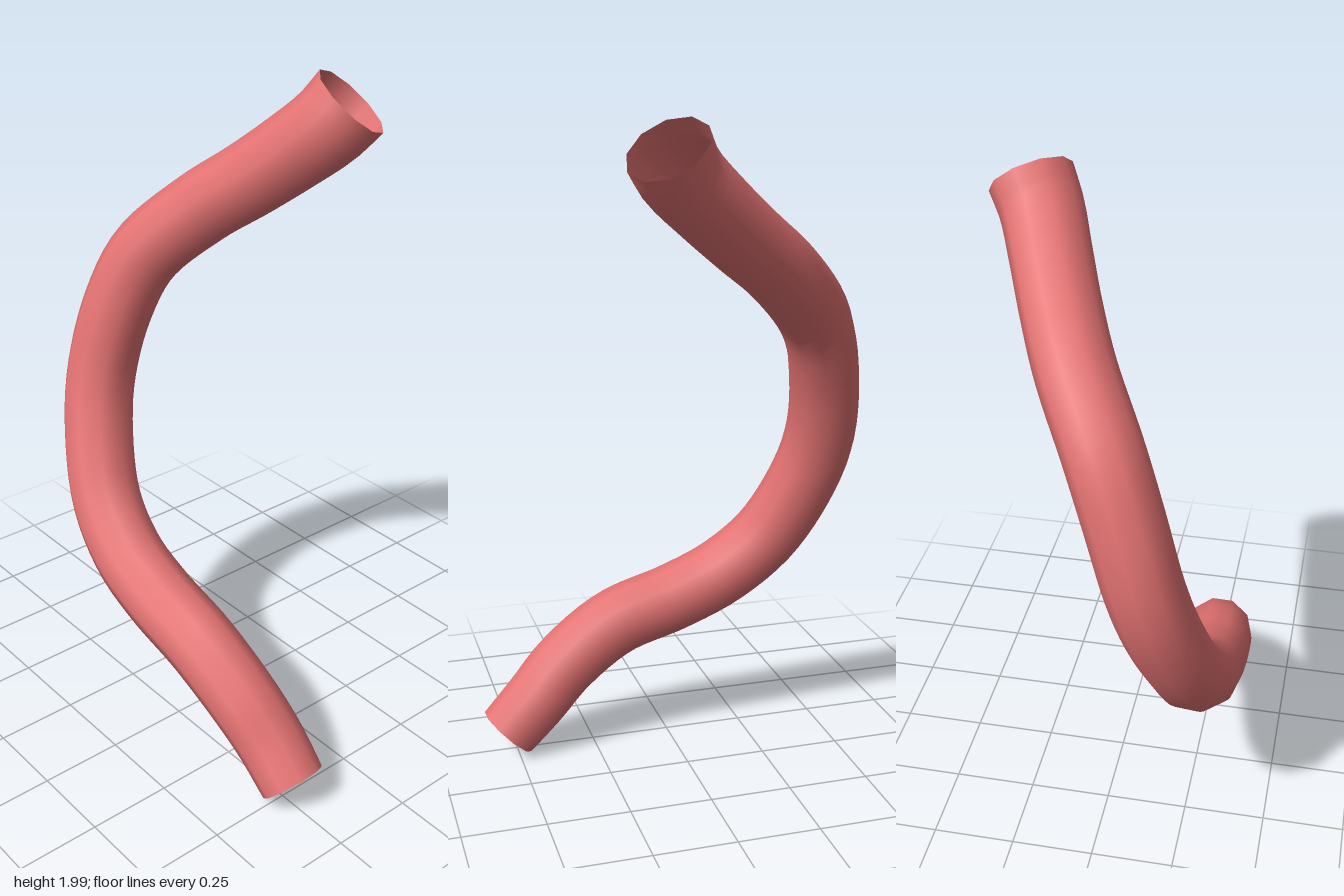
import * as THREE from 'three';

// Centre line of the hose, from the lower front end to the upper end
const PATH = [
  [-0.238, 0.07, 0.53], [-0.244, 0.17, 0.433], [-0.264, 0.27, 0.335],
  [-0.285, 0.385, 0.165], [-0.289, 0.452, -0.04], [-0.284, 0.525, -0.2],
  [-0.258, 0.65, -0.345], [-0.2, 0.86, -0.453], [-0.155, 1.02, -0.485],
  [-0.097, 1.22, -0.467], [-0.03, 1.39, -0.41], [0.075, 1.55, -0.265],
  [0.143, 1.655, -0.13], [0.198, 1.755, -0.008], [0.246, 1.847, 0.093],
  [0.285, 1.915, 0.138],
];
const SEGMENTS = 64;
const SIDES = 10;

// Radius swells just past the lower end and flares at the upper end
const radiusAt = (t) => 0.098 + 0.013 * (1 - Math.exp(-10 * t)) + 0.011 * Math.pow(t, 12);

function taperedTube(curve) {
  const geometry = new THREE.TubeGeometry(curve, SEGMENTS, 1, SIDES, false);
  const position = geometry.attributes.position;
  const point = new THREE.Vector3();
  for (let ring = 0; ring <= SEGMENTS; ring++) {
    const t = ring / SEGMENTS;
    const centre = curve.getPointAt(t);
    for (let side = 0; side <= SIDES; side++) {
      const i = ring * (SIDES + 1) + side;
      point.fromBufferAttribute(position, i).sub(centre);
      point.multiplyScalar(radiusAt(t)).add(centre);
      position.setXYZ(i, point.x, point.y, point.z);
    }
  }
  return geometry;
}

export function createModel() {
  const group = new THREE.Group();
  group.name = 'bentHose';

  // Open-ended hose, visible inside and out
  const curve = new THREE.CatmullRomCurve3(PATH.map((p) => new THREE.Vector3(...p)));
  const material = new THREE.MeshStandardMaterial({ color: 0xe57373, side: THREE.DoubleSide });
  const hose = new THREE.Mesh(taperedTube(curve), material);
  hose.name = 'hose';
  group.add(hose);

  return group;
}
